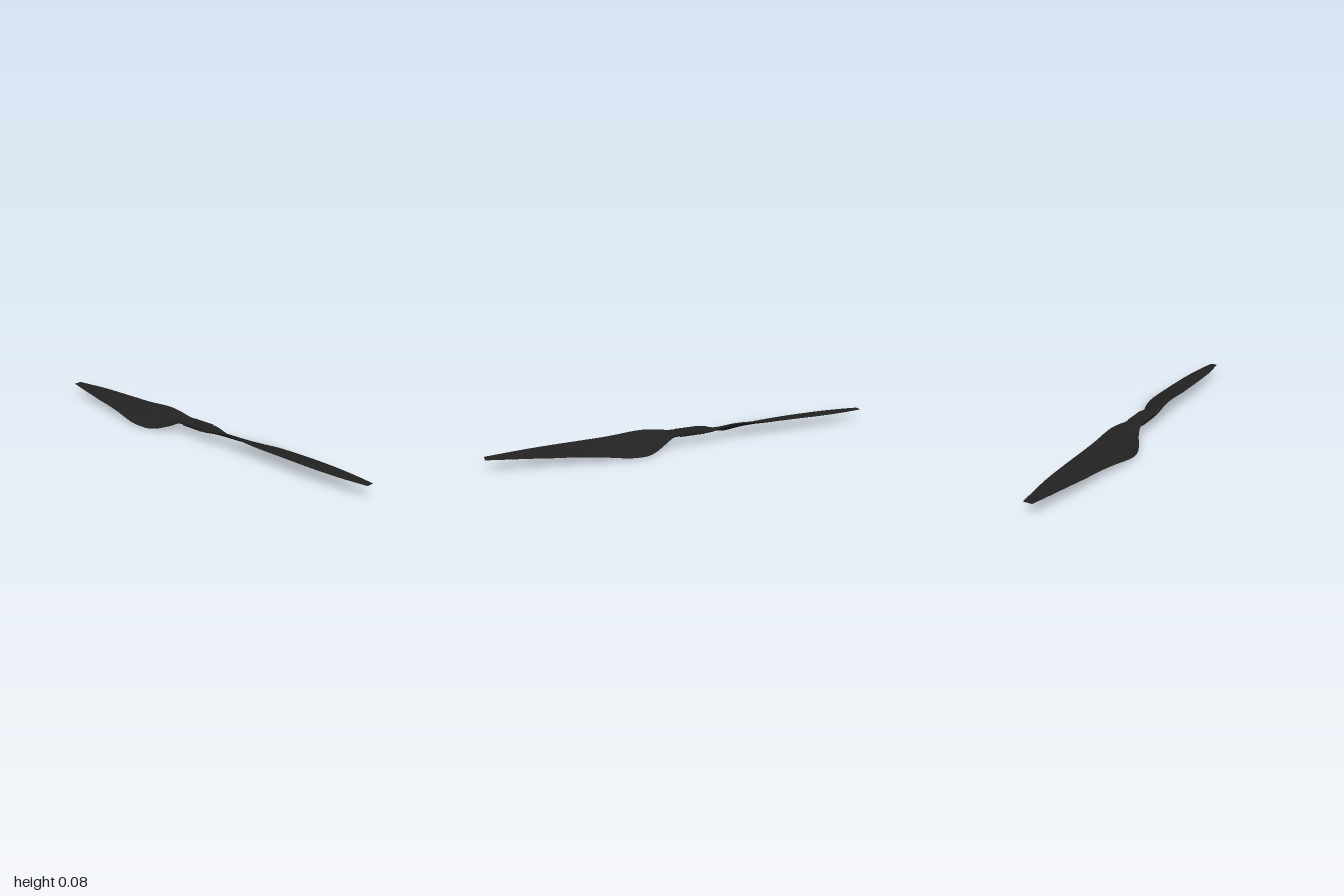
import * as THREE from 'three';

const material = new THREE.MeshStandardMaterial({ color: 0x222222 });

// Blade stations: z, leading x, leading y, trailing x, trailing y, thickness
const stations = [
  [0.06, -0.043, 0.060, 0.042, 0.060, 0.016],
  [0.10, -0.044, 0.062, 0.043, 0.057, 0.017],
  [0.15, -0.045, 0.073, 0.059, 0.031, 0.019],
  [0.20, -0.046, 0.081, 0.085, 0.012, 0.020],
  [0.25, -0.046, 0.084, 0.106, 0.003, 0.019],
  [0.30, -0.046, 0.082, 0.120, 0.006, 0.018],
  [0.36, -0.046, 0.077, 0.127, 0.013, 0.016],
  [0.42, -0.046, 0.073, 0.121, 0.022, 0.015],
  [0.50, -0.046, 0.071, 0.107, 0.032, 0.013],
  [0.60, -0.046, 0.069, 0.092, 0.041, 0.011],
  [0.70, -0.046, 0.067, 0.079, 0.047, 0.009],
  [0.80, -0.043, 0.065, 0.062, 0.053, 0.007],
  [0.90, -0.034, 0.063, 0.043, 0.057, 0.005],
  [1.00, -0.021, 0.062, 0.021, 0.060, 0.003],
];

// Lofts a twisted, tapering section along z and caps both ends
function bladeGeometry(rings = 78, sides = 32) {
  const curve = (f) => new THREE.CatmullRomCurve3(stations.map(f), false, 'catmullrom', 0.5);
  const lead = curve((s) => new THREE.Vector3(s[1], s[2], s[0]));
  const trail = curve((s) => new THREE.Vector3(s[3], s[4], s[0]));
  const thick = curve((s) => new THREE.Vector3(s[5], 0, s[0]));
  const pos = [], index = [];

  for (let i = 0; i <= rings; i++) {
    const t = i / rings;
    const a = lead.getPoint(t), b = trail.getPoint(t), h = thick.getPoint(t).x / 2;
    const mid = a.clone().add(b).multiplyScalar(0.5);
    const half = b.clone().sub(a).multiplyScalar(0.5);
    const chord = half.clone().normalize();
    // squarish at the hub, rounded further out
    const root = Math.max(0, 1 - t * 5);
    const power = 2 / (2.3 + 3 * root);
    for (let j = 0; j < sides; j++) {
      const ang = (j / sides) * Math.PI * 2;
      const c = Math.cos(ang), s = Math.sin(ang);
      const u = Math.sign(c) * Math.abs(c) ** power;
      const taper = 1 - (1 - root) * 0.2 * (1 + u);
      const v = Math.sign(s) * Math.abs(s) ** power * h * taper;
      pos.push(mid.x + half.x * u - chord.y * v, mid.y + half.y * u + chord.x * v, mid.z);
    }
  }
  for (let i = 0; i < rings; i++) {
    for (let j = 0; j < sides; j++) {
      const k = (j + 1) % sides;
      const a = i * sides + j, b = i * sides + k, c = a + sides, d = b + sides;
      index.push(a, b, c, b, d, c);
    }
  }
  // end caps on their own vertices, so the edges stay sharp
  for (const ring of [0, rings]) {
    const base = pos.length / 3;
    for (let j = 0; j < sides * 3; j++) pos.push(pos[ring * sides * 3 + j]);
    for (let j = 1; j < sides - 1; j++) {
      if (ring) index.push(base, base + j, base + j + 1);
      else index.push(base, base + j + 1, base + j);
    }
  }
  const g = new THREE.BufferGeometry();
  g.setAttribute('position', new THREE.Float32BufferAttribute(pos, 3));
  g.setIndex(index);
  g.computeVertexNormals();
  return g;
}

// Flat hub plate with a shaft hole and four small screw holes
function hubGeometry() {
  const w = 0.042, l = 0.065;
  const shape = new THREE.Shape();
  shape.moveTo(-w, -l).lineTo(w, -l).lineTo(w, l).lineTo(-w, l).closePath();
  const hole = (x, y, r) => shape.holes.push(new THREE.Path().absarc(x, y, r, 0, Math.PI * 2, true));
  hole(0, 0, 0.013);
  for (const x of [-1, 1]) for (const y of [-1, 1]) hole(x * 0.018, y * 0.018, 0.004);
  const g = new THREE.ExtrudeGeometry(shape, { depth: 0.016, bevelEnabled: false, curveSegments: 20 });
  g.rotateX(Math.PI / 2);
  g.translate(0, 0.068, 0);
  return g;
}

export function createModel() {
  const model = new THREE.Group();
  model.name = 'propeller';

  const hub = new THREE.Mesh(hubGeometry(), material);
  hub.name = 'hub';
  model.add(hub);

  // two identical blades, half a turn apart
  const blade = bladeGeometry();
  ['frontBlade', 'backBlade'].forEach((name, i) => {
    const mesh = new THREE.Mesh(blade, material);
    mesh.name = name;
    mesh.rotation.y = i * Math.PI;
    model.add(mesh);
  });
  return model;
}
